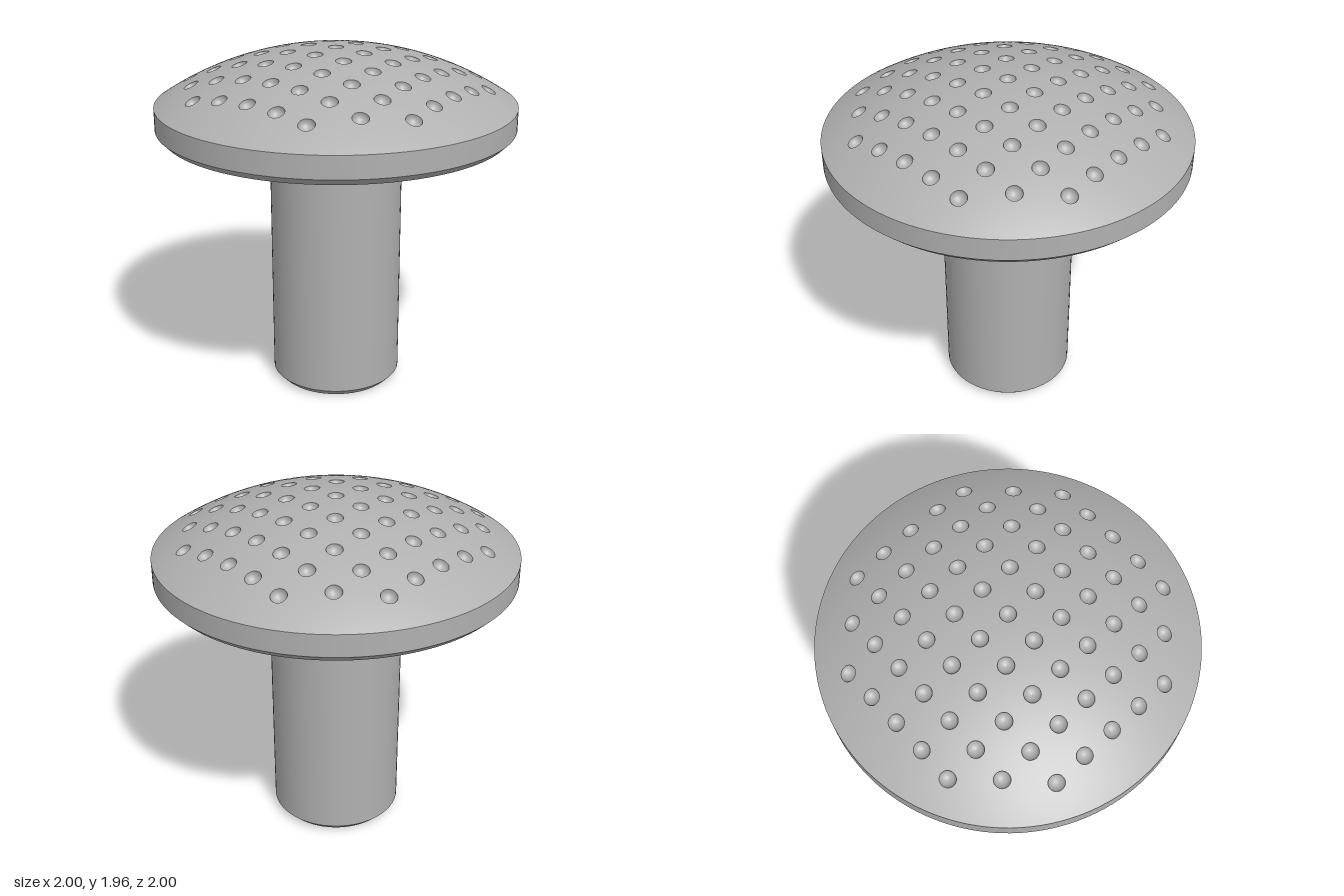
import * as THREE from 'three';
import { mergeGeometries } from 'three/addons/utils/BufferGeometryUtils.js';

const V = (x, y, z) => new THREE.Vector3(x, y, z);
const RIM_Y = 1.66, TOP_Y = 1.962;
const H = TOP_Y - RIM_Y;
const R = (1 + H * H) / (2 * H);        // sphere that carries the dome
const CENTRE = V(0, TOP_Y - R, 0);
const PITCH = 0.132, HOLE = 0.043, DEPTH = 0.038;

const onDome = (x, z) => V(x, CENTRE.y + Math.sqrt(R * R - x * x - z * z), z);
const snap = (p) => p.sub(CENTRE).setLength(R).add(CENTRE);

// Skin closed rows of points, ordered from the inside outwards (faces up)
function loft(rows) {
  const n = rows[0].length, index = [];
  for (let i = 0; i < rows.length - 1; i++) {
    for (let j = 0; j < n; j++) {
      const a = i * n + j, b = i * n + (j + 1) % n;
      index.push(a, b, a + n, b, b + n, a + n);
    }
  }
  const g = new THREE.BufferGeometry().setFromPoints(rows.flat());
  g.setIndex(index);
  g.computeVertexNormals();
  return g;
}

// Rows of points on the dome between two loops
function domeStrip(inner, outer, steps) {
  const rows = [];
  for (let s = 0; s <= steps; s++) {
    rows.push(inner.map((p, j) => snap(p.clone().lerp(outer[j], s / steps))));
  }
  const g = loft(rows), pos = g.attributes.position, nor = g.attributes.normal;
  for (let i = 0; i < pos.count; i++) {
    const n = V().fromBufferAttribute(pos, i).sub(CENTRE).normalize();
    nor.setXYZ(i, n.x, n.y, n.z);
  }
  return g;
}

// Lathe with a sharp edge at every profile point
function sharpLathe(points, segments) {
  return mergeGeometries(points.slice(1).map((p, i) => new THREE.LatheGeometry(
    [new THREE.Vector2(...points[i]), new THREE.Vector2(...p)], segments)));
}

export function createModel() {
  const group = new THREE.Group();
  const steel = new THREE.MeshStandardMaterial({ color: 0xb0b0b0 });
  steel.name = 'grey steel';
  const add = (name, geometry) => {
    const mesh = new THREE.Mesh(geometry, steel);
    mesh.name = name;
    group.add(mesh);
  };

  // Dome: diamond cells, each with a round dimple
  const isCell = (i, j) => (i + j) % 2 === 0 && i * i + j * j <= 40;
  const corners = [[1, 0], [0, 1], [-1, 0], [0, -1]];
  const cells = [], bowls = [], border = [];
  for (let i = -6; i <= 6; i++) {
    for (let j = -6; j <= 6; j++) {
      if (!isCell(i, j)) continue;
      const mid = onDome(i * PITCH, j * PITCH);
      const up = mid.clone().sub(CENTRE).normalize();
      const u = V(1, 0, 0).addScaledVector(up, -up.x).normalize();
      const v = u.clone().cross(up);
      const outer = [], angles = [];
      corners.forEach(([ax, az], k) => {
        const [bx, bz] = corners[(k + 1) % 4];
        const open = !isCell(i + ax + bx, j + az + bz);
        for (let s = 0; s < 8; s++) {
          const t = s / 8, x = ax + (bx - ax) * t, z = az + (bz - az) * t;
          const p = onDome((i + x) * PITCH, (j + z) * PITCH);
          outer.push(p);
          angles.push(Math.atan2(z, x));
          if (open) border.push(p);
        }
      });
      const ring = (radius, drop) => angles.map((a) => mid.clone()
        .addScaledVector(u, radius * Math.cos(a))
        .addScaledVector(v, radius * Math.sin(a))
        .addScaledVector(up, -drop));
      const rim = ring(HOLE, 0).map(snap);
      cells.push(domeStrip(rim, outer, 2));
      const rows = [0, 1, 2, 3, 4].map((s) => {
        const a = s / 5 * Math.PI / 2;
        return ring(HOLE * Math.sin(a), DEPTH * Math.cos(a));
      });
      bowls.push(loft([...rows, rim]));
    }
  }
  // Plain dome margin from the dimple field out to the rim
  border.sort((a, b) => Math.atan2(a.z, a.x) - Math.atan2(b.z, b.x));
  const edge = border.map((p) => {
    const a = Math.atan2(p.z, p.x);
    return V(Math.cos(a), RIM_Y, Math.sin(a));
  });
  cells.push(domeStrip(border, edge, 4));
  add('dome', mergeGeometries(cells));
  add('dimples', mergeGeometries(bowls));

  // Head rim with chamfered underside
  add('headRim', sharpLathe([[0.3, 1.5], [0.962, 1.5], [1, 1.538], [1, RIM_Y]], 128));

  // Shaft with chamfered foot
  add('shaft', sharpLathe([[0.333, 0], [0.372, 0.04], [0.372, 1.5]], 64));

  // End face with a cross-shaped socket
  const W = 0.09, L = 0.29, D = 0.25;
  const face = new THREE.Shape().absarc(0, 0, 0.333, 0, Math.PI * 2);
  face.holes.push(new THREE.Path([
    [L, -W], [L, W], [W, W], [W, L], [-W, L], [-W, W],
    [-L, W], [-L, -W], [-W, -W], [-W, -L], [W, -L], [W, -W],
  ].reverse().map((p) => new THREE.Vector2(...p))));
  add('crossSocket', new THREE.ExtrudeGeometry(face,
    { depth: D, bevelEnabled: false, curveSegments: 64 }).rotateX(-Math.PI / 2));
  add('socketFloor', new THREE.CircleGeometry(0.33, 32).rotateX(Math.PI / 2).translate(0, D, 0));

  return group;
}
